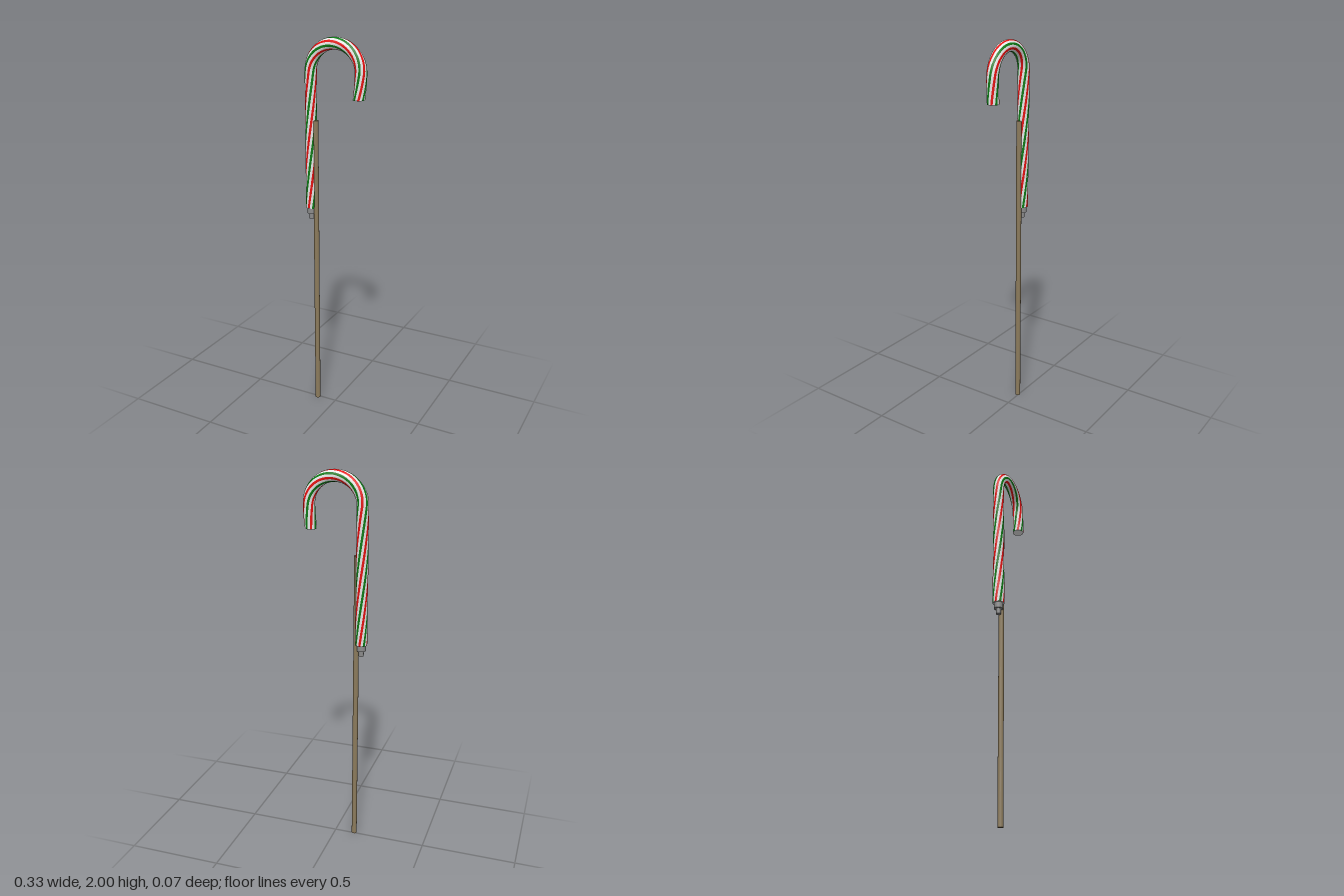
import * as THREE from 'three';

const mat = (name, color, side = THREE.FrontSide) => {
  const m = new THREE.MeshStandardMaterial({ color, side });
  m.name = name;
  return m;
};

const TUBE_R = 0.03, BEND_R = 0.1355, BEND_Y = 1.835, BASE_Y = 1.13, TIP_Y = 1.71;
const SHAFT = BEND_Y - BASE_Y, ARC = Math.PI * BEND_R, TIP = BEND_Y - TIP_Y;
const LENGTH = SHAFT + ARC + TIP;
const TWIST = 4.8; // stripe rotation in radians per unit of length
const RED_PHASE = -0.385; // angle of a red stripe's middle at the top of the bend

// Centre line and outward direction of the cane at distance s from its base
function frame(s) {
  if (s < SHAFT) {
    const t = s / SHAFT;
    return { p: new THREE.Vector3(-BEND_R, BASE_Y + s, 0.004 * (1 - t)), n: new THREE.Vector3(-1, 0, 0) };
  }
  if (s < SHAFT + ARC) {
    const t = (s - SHAFT) / ARC, a = Math.PI * (1 - t);
    const n = new THREE.Vector3(Math.cos(a), Math.sin(a), 0);
    return { p: new THREE.Vector3(0, BEND_Y, -0.004 * t).addScaledVector(n, BEND_R), n };
  }
  const t = (s - SHAFT - ARC) / TIP;
  return {
    p: new THREE.Vector3(BEND_R - 0.008 * t * t, BEND_Y - TIP * t, -0.004 + 0.004 * t),
    n: new THREE.Vector3(1, 0, 0),
  };
}

// Helical ribbons on the cane, each covering the sector centred on one angle
function ribbons(centres, width) {
  const pos = [], nor = [], idx = [], ROWS = 120, COLS = 3;
  for (const c of centres) {
    const start = pos.length / 3;
    for (let i = 0; i <= ROWS; i++) {
      const s = (LENGTH * i) / ROWS;
      const { p, n } = frame(s);
      const twist = TWIST * (s - SHAFT - ARC / 2);
      for (let j = 0; j <= COLS; j++) {
        const a = c + twist + (j / COLS - 0.5) * width;
        const d = n.clone().multiplyScalar(Math.cos(a));
        d.z = Math.sin(a);
        nor.push(d.x, d.y, d.z);
        pos.push(p.x + d.x * TUBE_R, p.y + d.y * TUBE_R, p.z + d.z * TUBE_R);
        if (i < ROWS && j < COLS) {
          const k = start + i * (COLS + 1) + j, up = k + COLS + 1;
          idx.push(k, up, k + 1, k + 1, up, up + 1);
        }
      }
    }
  }
  const g = new THREE.BufferGeometry();
  g.setAttribute('position', new THREE.Float32BufferAttribute(pos, 3));
  g.setAttribute('normal', new THREE.Float32BufferAttribute(nor, 3));
  g.setIndex(idx);
  return g;
}

export function createModel() {
  const group = new THREE.Group();
  const white = mat('white', 0xe8e8e8, THREE.DoubleSide);
  const red = mat('red', 0xe50f0f, THREE.DoubleSide);
  const green = mat('green', 0x0a7a14, THREE.DoubleSide);
  const grey = mat('socket grey', 0x8c8c8c);
  const tan = mat('stake tan', 0x8c7b5c);

  const add = (name, geometry, material, x = 0, y = 0, z = 0) => {
    const m = new THREE.Mesh(geometry, material);
    m.name = name;
    m.position.set(x, y, z);
    group.add(m);
    return m;
  };

  // Striped cane: four red, four green and eight white ribbons
  const sector = Math.PI / 8;
  const angles = (count, offset) =>
    Array.from({ length: count }, (_, i) => RED_PHASE + offset + (i * 2 * Math.PI) / count);
  add('redStripes', ribbons(angles(4, 0), sector), red);
  add('greenStripes', ribbons(angles(4, 2 * sector), sector), green);
  add('whiteStripes', ribbons(angles(8, sector), sector), white);

  // Flat ends of the cane
  for (const [name, s] of [['baseCap', 0], ['tipCap', LENGTH]]) {
    const { p } = frame(s);
    add(name, new THREE.CircleGeometry(TUBE_R, 48), white, p.x, p.y, p.z).rotation.x = Math.PI / 2;
  }

  // Stepped socket under the shaft
  add('socketCollar', new THREE.CylinderGeometry(0.023, 0.023, 0.032, 24), grey, -BEND_R, 1.115, 0.004);
  add('socketPlug', new THREE.CylinderGeometry(0.013, 0.013, 0.03, 20), grey, -BEND_R, 1.085, 0.004);

  // Ground stake fixed along the inner side of the shaft
  add('stake', new THREE.CylinderGeometry(0.014, 0.014, 1.59, 20), tan, -0.107, 0.795, 0.007);

  return group;
}
